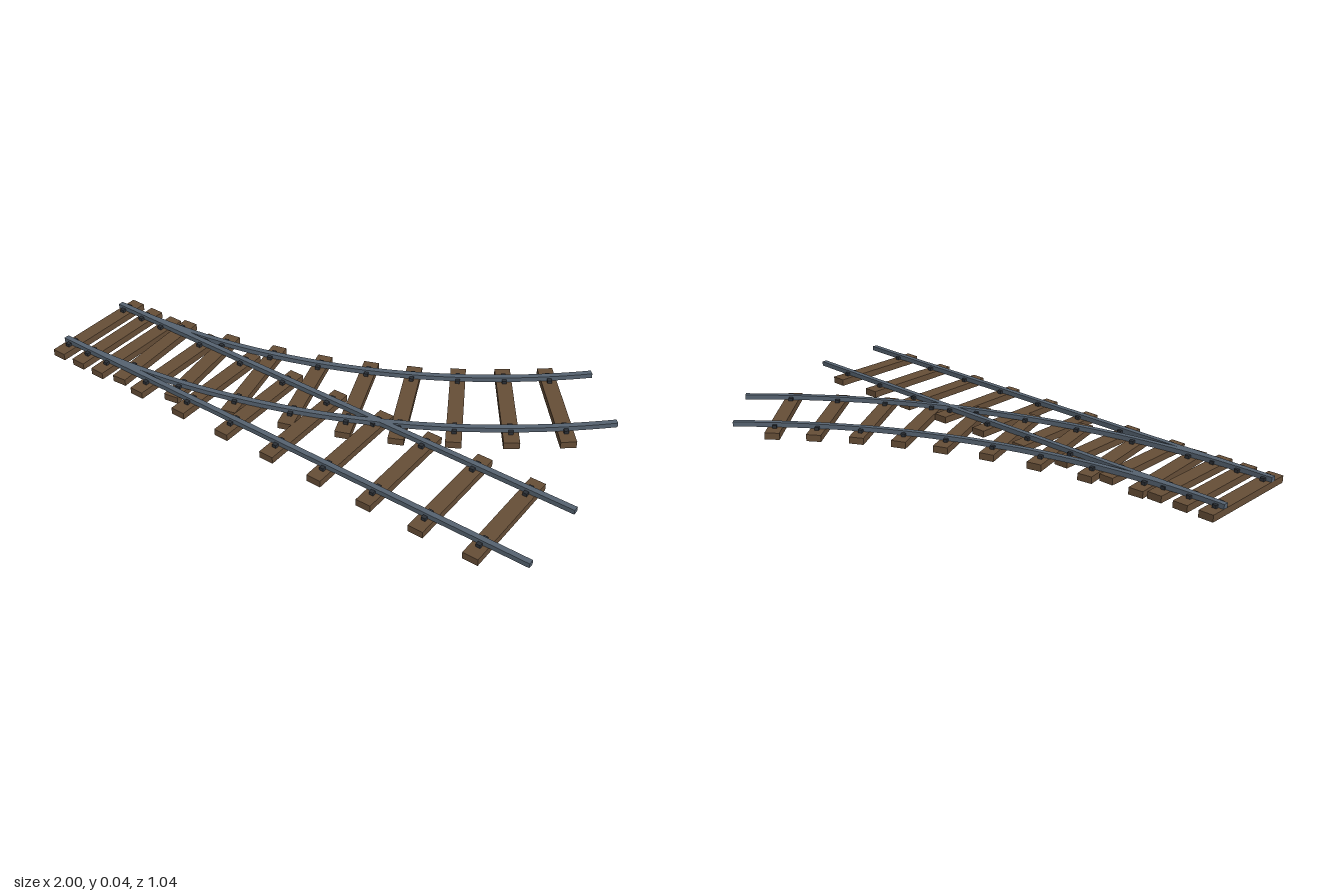
import * as THREE from 'three';

const GAUGE = 0.287, RAIL_W = 0.02, RAIL_Y = 0.027, RAIL_H = 0.018;
const TRACK_Z = 0.305, TIE_H = 0.026;
const ARC_X = -0.95, RADIUS = 2.505, SWEEP = THREE.MathUtils.degToRad(44.6);

export function createModel() {
  const wood = new THREE.MeshStandardMaterial({ name: 'tie wood', color: 0x664e37 });
  const steel = new THREE.MeshStandardMaterial({ name: 'rail steel', color: 0x566371 });
  const iron = new THREE.MeshStandardMaterial({ name: 'dark iron', color: 0x2c3036 });

  const model = new THREE.Group();
  model.name = 'railSwitch';

  const tieGeo = new THREE.BoxGeometry(0.056, TIE_H, 0.423);
  const spikeGeo = new THREE.BoxGeometry(0.016, 0.012, 0.014);

  function add(parent, name, geo, mat, x, y, z) {
    const mesh = new THREE.Mesh(geo, mat);
    mesh.name = name;
    mesh.position.set(x, y, z);
    parent.add(mesh);
    return mesh;
  }

  // One tie with a spike on both sides of each rail
  function addTie(name, x, z, degrees) {
    const tie = new THREE.Group();
    tie.name = name;
    tie.position.set(x, 0, z);
    tie.rotation.y = THREE.MathUtils.degToRad(degrees);
    add(tie, 'tieBeam', tieGeo, wood, 0, TIE_H / 2, 0);
    for (const rail of [-1, 1]) {
      for (const side of [-1, 1]) {
        add(tie, 'spike', spikeGeo, iron, 0, TIE_H + 0.006, rail * GAUGE / 2 + side * 0.017);
      }
    }
    model.add(tie);
  }

  // Straight track
  for (let i = 0; i < 10; i++) addTie('straightTie', -0.97 + i * 0.2, TRACK_Z + 0.002, 0);
  const straightGeo = new THREE.BoxGeometry(2, RAIL_H, RAIL_W);
  for (const s of [-1, 1]) {
    add(model, 'straightRail', straightGeo, steel, 0, RAIL_Y + RAIL_H / 2, TRACK_Z + s * GAUGE / 2);
  }

  // Branching ties: x, z, turn in degrees
  const branch = [
    [-0.87, 0.307, 0.3], [-0.69, 0.29, 4.4], [-0.48, 0.26, 8.8], [-0.275, 0.21, 13.5],
    [-0.085, 0.151, 17.7], [0.09, 0.077, 21.5], [0.246, 0.002, 24.8], [0.398, -0.09, 29.7],
    [0.545, -0.193, 34.8], [0.684, -0.3, 39.9],
  ];
  for (const [x, z, turn] of branch) addTie('branchTie', x, z, turn);

  // Branching rails: ring sectors raised to rail height
  for (const s of [-1, 1]) {
    const r = RADIUS + s * GAUGE / 2;
    const start = -Math.PI / 2, end = start + SWEEP;
    const shape = new THREE.Shape();
    shape.absarc(0, 0, r + RAIL_W / 2, start, end, false);
    shape.absarc(0, 0, r - RAIL_W / 2, end, start, true);
    shape.closePath();
    const geo = new THREE.ExtrudeGeometry(shape, { depth: RAIL_H, bevelEnabled: false, curveSegments: 24 });
    geo.rotateX(-Math.PI / 2);
    add(model, 'branchRail', geo, steel, ARC_X, RAIL_Y, TRACK_Z - RADIUS);
  }

  return model;
}
